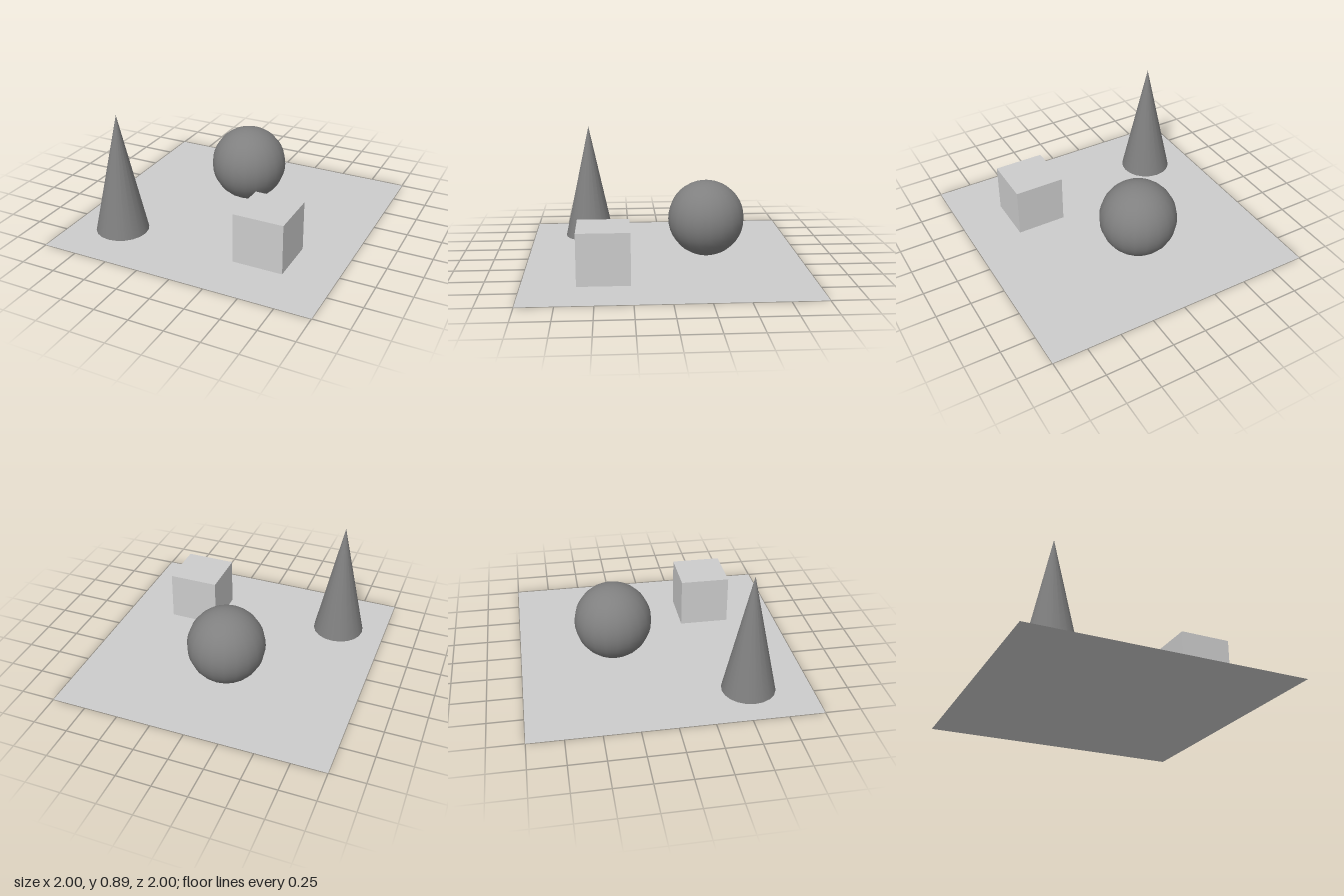
import * as THREE from 'three';

export function createModel() {
  const model = new THREE.Group();

  const lightGrey = new THREE.MeshStandardMaterial({ color: 0xcccccc, side: THREE.DoubleSide });
  lightGrey.name = 'light grey';
  const darkGrey = new THREE.MeshStandardMaterial({ color: 0x808080 });
  darkGrey.name = 'dark grey';

  const add = (name, geometry, material, x, y, z) => {
    const mesh = new THREE.Mesh(geometry, material);
    mesh.name = name;
    mesh.position.set(x, y, z);
    model.add(mesh);
  };

  // Solids rest a hair above the floor so their bases do not flicker through it
  const lift = 0.002;
  const cubeSize = 0.366;
  const coneHeight = 0.885;

  // Square floor sheet
  add('floor', new THREE.PlaneGeometry(2, 2).rotateX(-Math.PI / 2), lightGrey, 0, 0, 0);

  // Cube at the front left
  add('cube', new THREE.BoxGeometry(cubeSize, cubeSize, cubeSize), lightGrey,
    0.463, cubeSize / 2 + lift, 0.443);

  // Ball towards the back
  add('ball', new THREE.SphereGeometry(0.281, 20, 20), darkGrey, -0.04, 0.286, -0.315);

  // Tall cone at the front right
  add('cone', new THREE.ConeGeometry(0.191, coneHeight, 20), darkGrey,
    -0.643, coneHeight / 2 + lift, 0.56);

  return model;
}
